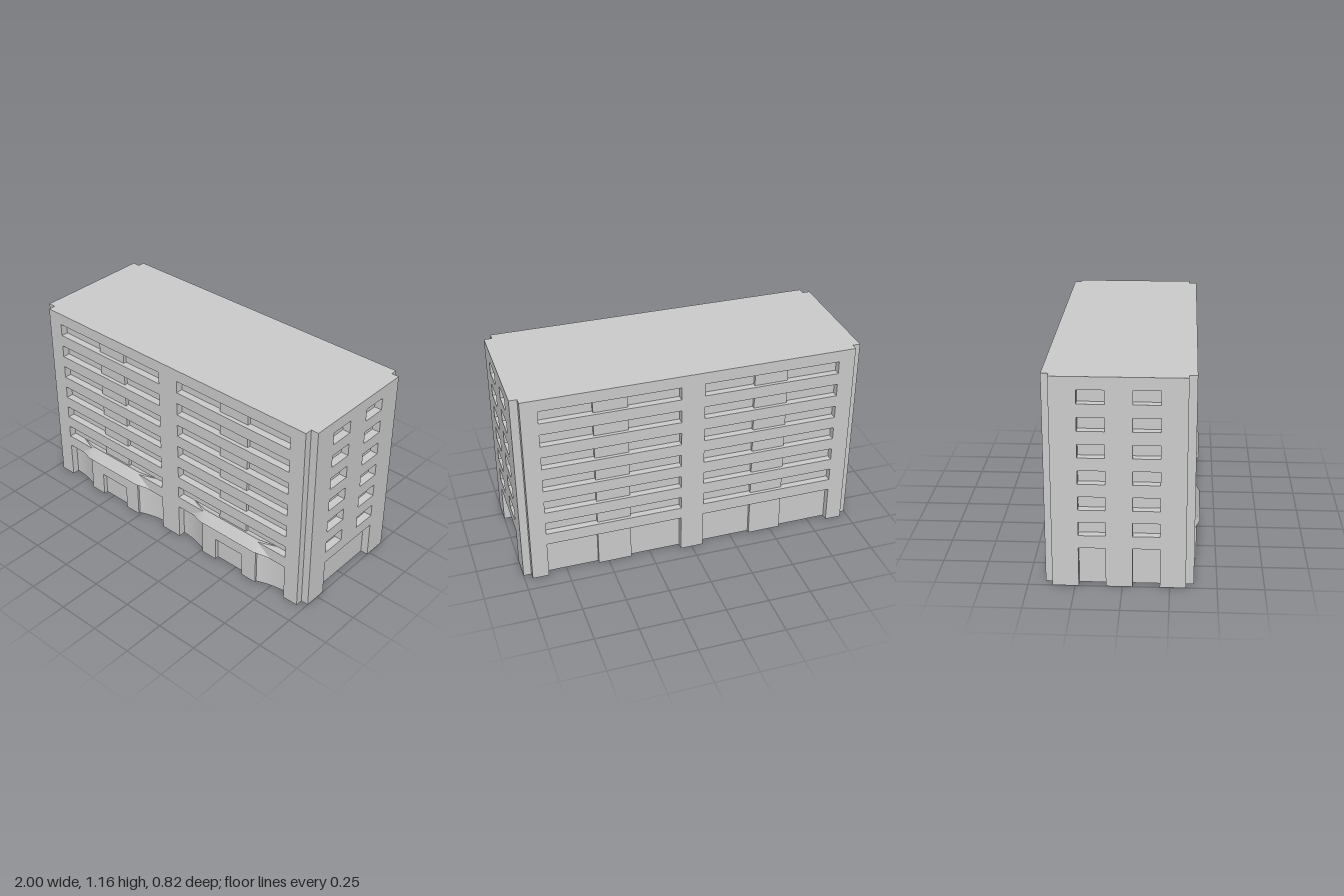
import * as THREE from 'three';

const H = 1.165, GROUND = 0.222, BAY = 0.4625;
const SILLS = [0, 1, 2, 3, 4, 5].map(i => 0.293 + i * 0.1455);
const WINDOW_H = 0.075;
const mat = new THREE.MeshStandardMaterial({ color: 0xcccccc, side: THREE.DoubleSide });

function add(parent, name, geo, x = 0, y = 0, z = 0) {
  const mesh = new THREE.Mesh(geo, mat);
  mesh.name = name;
  mesh.position.set(x, y, z);
  parent.add(mesh);
  return mesh;
}

const extrude = (shape, depth) =>
  new THREE.ExtrudeGeometry(shape, { depth, bevelEnabled: false });

// Wall outline with door-like notches cut from its bottom edge
function notchedWall(u0, u1, height, notches, notchH) {
  const s = new THREE.Shape();
  s.moveTo(u0, 0);
  for (const [a, b] of notches) {
    s.lineTo(a, 0);
    s.lineTo(a, notchH);
    s.lineTo(b, notchH);
    s.lineTo(b, 0);
  }
  s.lineTo(u1, 0);
  s.lineTo(u1, height);
  s.lineTo(u0, height);
  s.closePath();
  return s;
}

// Facade plate: ground openings plus six rows of windows
function facade(u0, u1, ground, columns, depth) {
  const s = notchedWall(u0, u1, H, ground, GROUND);
  for (const y of SILLS) {
    for (const [a, b] of columns) {
      const hole = new THREE.Path();
      hole.moveTo(a, y);
      hole.lineTo(a, y + WINDOW_H);
      hole.lineTo(b, y + WINDOW_H);
      hole.lineTo(b, y);
      hole.closePath();
      s.holes.push(hole);
    }
  }
  return extrude(s, depth);
}

// Ground-floor wall whose wings sweep back from the entrance, drawn in plan
function curvedWall() {
  const wing = [];
  for (let i = 0; i <= 12; i++) {
    const t = i / 12;
    wing.push([0.2 + 0.197 * t, 0.336 + 0.042 * (1 - t) ** 2]);
  }
  const pts = [[-0.397, 0.33], [0.397, 0.33],
    ...wing.slice().reverse(), [0.2, 0.365], [-0.2, 0.365],
    ...wing.map(([x, z]) => [-x, z])];
  const geo = extrude(new THREE.Shape(pts.map(([x, z]) => new THREE.Vector2(x, -z))), GROUND);
  return geo.rotateX(-Math.PI / 2);
}

// Sloping canopy lofted from four-point sections along x
function canopy() {
  const xs = [-0.36, -0.33, -0.3, -0.27, -0.24, -0.2, -0.1, 0, 0.1, 0.2, 0.24, 0.27, 0.3, 0.33, 0.36];
  const sections = xs.map(x => {
    const t = Math.max(0, (Math.abs(x) - 0.2) / 0.16);
    const z = 0.408 - 0.053 * t;
    return [[0.32, 0.222], [z, 0.234 - 0.011 * t], [z - 0.036, 0.305 - 0.015 * t], [0.32, 0.28]];
  });
  const pos = [], index = [];
  for (let k = 0; k < 4; k++) {
    const base = pos.length / 3;
    sections.forEach((sec, i) => {
      for (const [z, y] of [sec[k], sec[(k + 1) % 4]]) pos.push(xs[i], y, z);
      if (i) {
        const a = base + 2 * (i - 1);
        index.push(a, a + 2, a + 1, a + 1, a + 2, a + 3);
      }
    });
  }
  const geo = new THREE.BufferGeometry();
  geo.setAttribute('position', new THREE.Float32BufferAttribute(pos, 3));
  geo.setIndex(index);
  geo.computeVertexNormals();
  return geo;
}

export function createModel() {
  const building = new THREE.Group();
  building.name = 'apartmentBlock';

  // Core block, visible at the back of every recess
  add(building, 'core', new THREE.BoxGeometry(1.91, H, 0.705), 0, H / 2, -0.0175);

  // Long facades; the gaps between the plates form the corner notches
  const bays = [[-0.86, -0.067], [0.067, 0.86]];
  add(building, 'frontFacade', facade(-0.955, 0.955, bays, bays, 0.043), 0, 0, 0.335);
  add(building, 'backFacade', facade(-0.955, 0.955, bays, bays, 0.04), 0, 0, -0.41);

  // End facades: one wide ground opening on +x, two on -x
  const columns = [[-0.23, -0.087], [0.055, 0.198]];
  const wide = [[-0.23, 0.198]];
  add(building, 'leftEndFacade', facade(-0.37, 0.335, wide, columns, 0.045), 1)
    .rotation.y = -Math.PI / 2;
  add(building, 'rightEndFacade', facade(-0.37, 0.335, columns, columns, 0.045), -0.955)
    .rotation.y = -Math.PI / 2;

  for (const side of [-1, 1]) {
    const x = side * BAY;
    // Shallower centre panels inside the window bands
    add(building, 'frontBayPanel', new THREE.BoxGeometry(0.195, 0.83, 0.03), x, 0.7, 0.34);
    add(building, 'backBayPanel', new THREE.BoxGeometry(0.195, 1.12, 0.03), x, 0.56, -0.375);

    // Entrance with curved wings, door surround and canopy
    const entrance = new THREE.Group();
    entrance.name = 'entrance';
    entrance.position.x = x;
    building.add(entrance);
    add(entrance, 'curvedWall', curvedWall());
    const surround = notchedWall(-0.2, 0.2, GROUND, [[-0.1, 0.1]], 0.148);
    add(entrance, 'doorSurround', extrude(surround, 0.025), 0, 0, 0.365);
    add(entrance, 'canopy', canopy());
  }
  return building;
}
